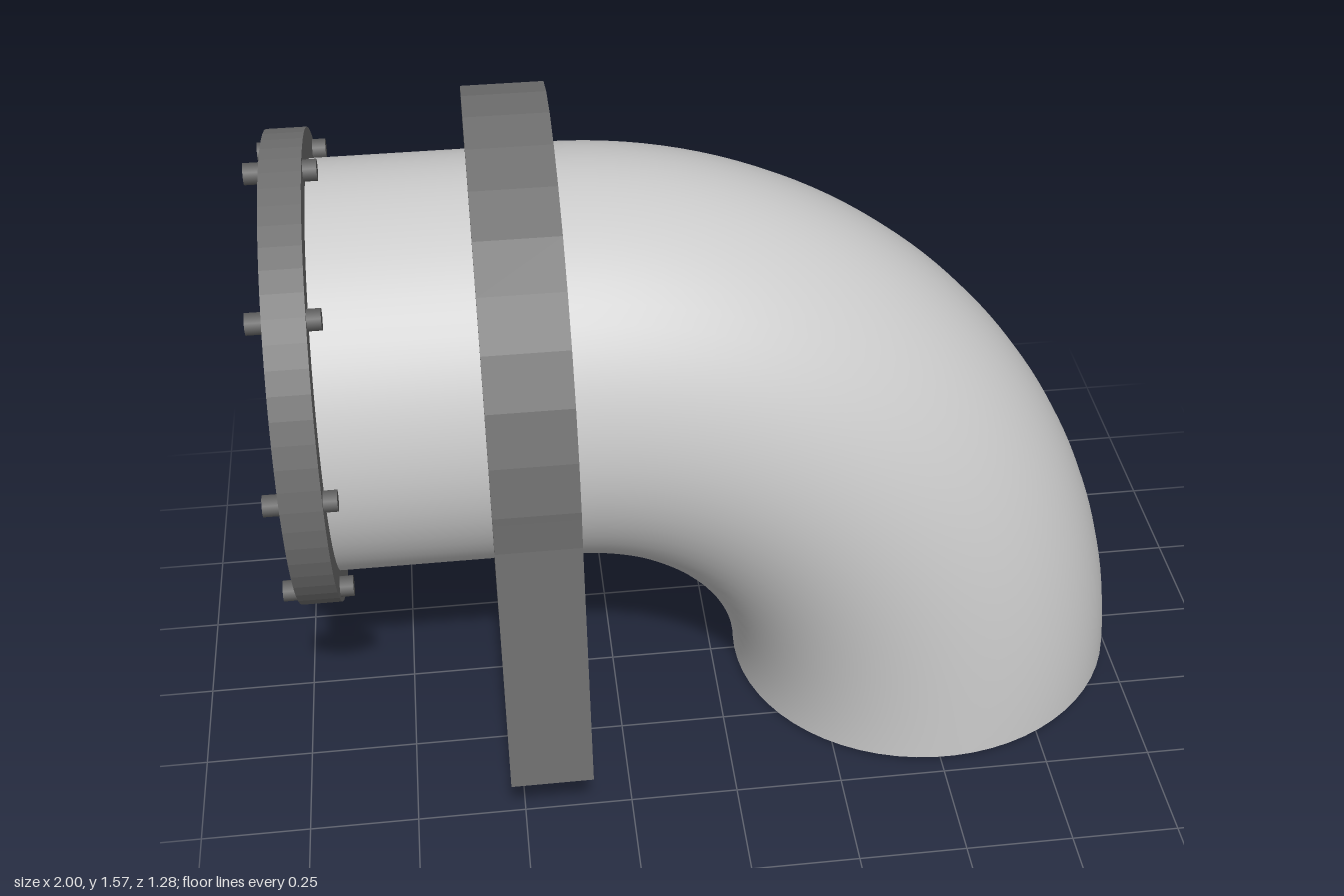
import * as THREE from 'three';

const AXIS_Y = 0.96;   // height of the horizontal run
const PIPE_R = 0.47;

const material = (color) => new THREE.MeshStandardMaterial({ color });
const pipeMat = material(0xcccccc);
const ironMat = material(0x707070);
const boltMat = material(0x606060);
const darkMat = material(0x404040);

function add(parent, name, geometry, mat) {
  const mesh = new THREE.Mesh(geometry, mat);
  mesh.name = name;
  parent.add(mesh);
  return mesh;
}

// Extrude a profile drawn in the (z, y) plane from x0 to x1
function extrudeX(shape, x0, x1, curveSegments = 12) {
  const geo = new THREE.ExtrudeGeometry(shape, { depth: x1 - x0, bevelEnabled: false, curveSegments });
  return geo.rotateY(Math.PI / 2).translate(x0, 0, 0);
}

function ringShape(outer, inner) {
  const shape = new THREE.Shape().absarc(0, AXIS_Y, outer, 0, Math.PI * 2);
  shape.holes.push(new THREE.Path().absarc(0, AXIS_Y, inner, 0, Math.PI * 2, true));
  return shape;
}

export function createModel() {
  const model = new THREE.Group();
  model.name = 'pipeElbow';

  // Straight run
  const run = new THREE.CylinderGeometry(PIPE_R - 0.005, PIPE_R - 0.005, 0.58, 64, 1, true);
  run.rotateZ(Math.PI / 2).translate(-0.63, AXIS_Y, 0);
  add(model, 'straightPipe', run, pipeMat);

  // Bend, turning down to a slightly tilted mouth
  const path = new THREE.CubicBezierCurve3(
    new THREE.Vector3(-0.35, AXIS_Y, 0),
    new THREE.Vector3(0.14, AXIS_Y, 0),
    new THREE.Vector3(0.51, 0.53, 0),
    new THREE.Vector3(0.53, 0.02, 0));
  add(model, 'bend', new THREE.TubeGeometry(path, 48, PIPE_R, 64), pipeMat);

  // Closed mouth of the bend
  const mouth = add(model, 'mouthCap', new THREE.CircleGeometry(PIPE_R, 64), pipeMat);
  mouth.position.copy(path.getPoint(1));
  mouth.quaternion.setFromUnitVectors(new THREE.Vector3(0, 0, 1), path.getTangent(1));

  // Dark disc recessed in the flange
  const disc = add(model, 'flangeCap', new THREE.CircleGeometry(PIPE_R, 64), darkMat);
  disc.rotation.y = -Math.PI / 2;
  disc.position.set(-0.92, AXIS_Y, 0);

  // Flange with eight through bolts
  add(model, 'flange', extrudeX(ringShape(0.535, 0.462), -0.965, -0.875, 32), ironMat);
  const bolts = new THREE.Group();
  bolts.name = 'flangeBolts';
  model.add(bolts);
  for (let i = 0; i < 8; i++) {
    const a = (i * Math.PI) / 4;
    const geo = new THREE.CylinderGeometry(0.024, 0.024, 0.155, 10).rotateZ(Math.PI / 2);
    const bolt = add(bolts, 'bolt', geo, boltMat);
    bolt.position.set(-0.9225, AXIS_Y + 0.503 * Math.cos(a), 0.503 * Math.sin(a));
  }

  // Support collar and its two splayed legs
  const support = new THREE.Group();
  support.name = 'support';
  model.add(support);
  add(support, 'collar', extrudeX(ringShape(0.607, 0.472), -0.53, -0.345, 16), ironMat);
  for (const side of [-1, 1]) {
    const corners = [[0.505, 0.23], [0.64, 0.22], [0.6, 0.86], [0.605, 0.94], [0.48, 0.94], [0.465, 0.86]];
    const leg = new THREE.Shape(corners.map(([z, y]) => new THREE.Vector2(side * z, y)));
    add(support, side < 0 ? 'frontLeg' : 'backLeg', extrudeX(leg, -0.53, -0.345), ironMat);
  }
  return model;
}
